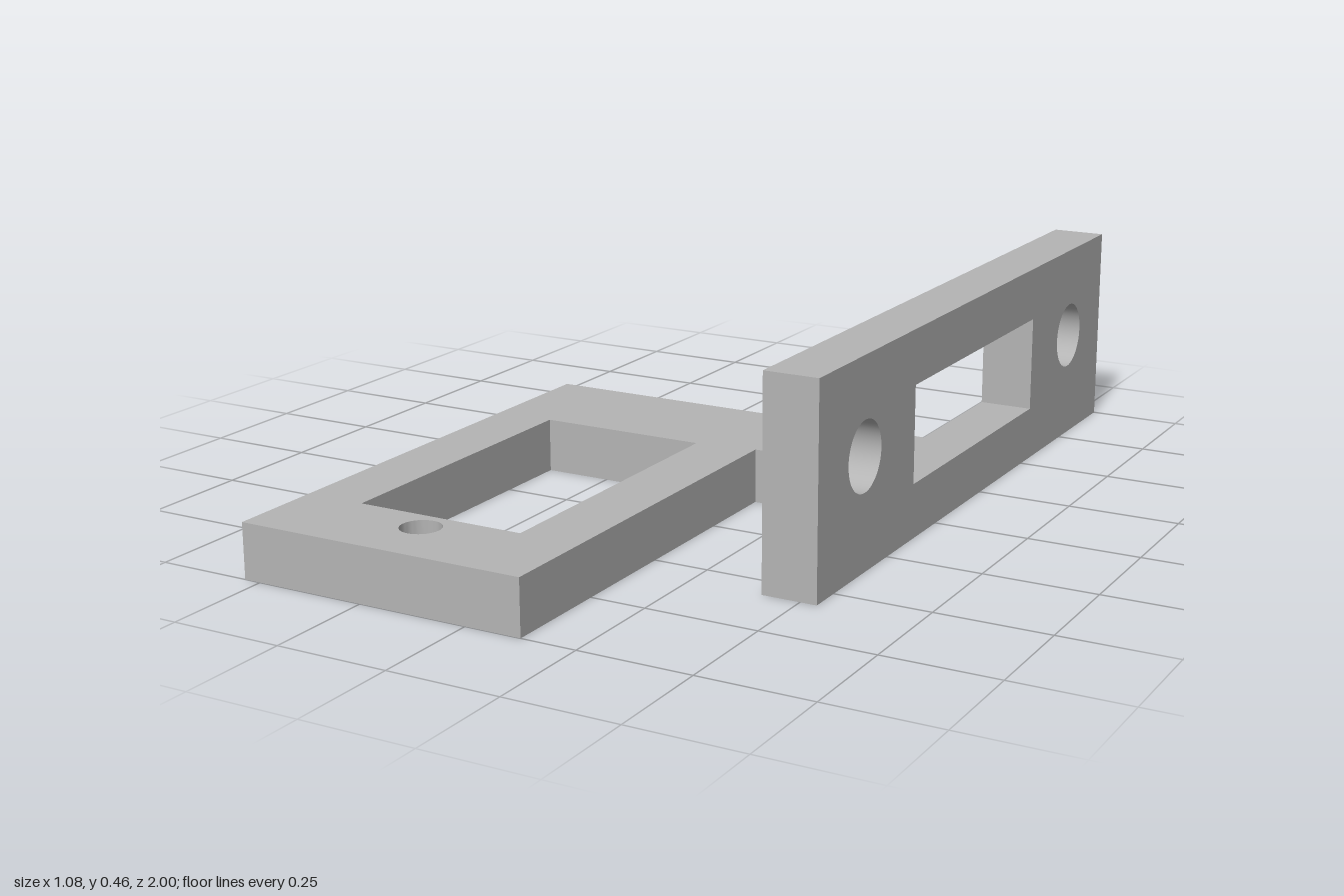
import * as THREE from 'three';
import { toCreasedNormals } from 'three/addons/utils/BufferGeometryUtils.js';

const THICKNESS = 0.122;

function rectHole(x0, y0, x1, y1) {
  return new THREE.Path([[x0, y0], [x0, y1], [x1, y1], [x1, y0]].map(p => new THREE.Vector2(...p)));
}

function roundHole(x, y, r) {
  return new THREE.Path().absarc(x, y, r, 0, Math.PI * 2, true);
}

// Flat plate from an outline, with openings and smooth round bores
function plate(name, outline, holes, material) {
  const shape = new THREE.Shape(outline.map(p => new THREE.Vector2(...p)));
  shape.holes.push(...holes);
  const geometry = new THREE.ExtrudeGeometry(shape, { depth: THICKNESS, bevelEnabled: false, curveSegments: 24 });
  const mesh = new THREE.Mesh(toCreasedNormals(geometry, Math.PI / 6), material);
  mesh.name = name;
  return mesh;
}

export function createModel() {
  const group = new THREE.Group();
  group.name = 'mountingBracket';
  const grey = new THREE.MeshStandardMaterial({ color: 0xb4b4b4 });
  grey.name = 'grey';

  // Horizontal frame with its connecting arm, drawn in (x, -z)
  const base = plate('baseFrame',
    [[-0.538, -1], [0.127, -1], [0.127, -0.06], [0.415, -0.06], [0.415, 0.207], [-0.538, 0.207]],
    [rectHole(-0.402, -0.788, -0.012, -0.08), roundHole(-0.206, -0.852, 0.044)], grey);
  base.rotation.x = -Math.PI / 2;
  group.add(base);

  // Upright plate, drawn in (-z, y)
  const upright = plate('uprightPlate',
    [[-0.575, 0], [1, 0], [1, 0.46], [-0.575, 0.46]],
    [rectHole(-0.122, 0.122, 0.545, 0.339), ...[-0.364, 0.787].map(x => roundHole(x, 0.248, 0.077))], grey);
  upright.rotation.y = Math.PI / 2;
  upright.position.x = 0.415;
  group.add(upright);

  return group;
}
